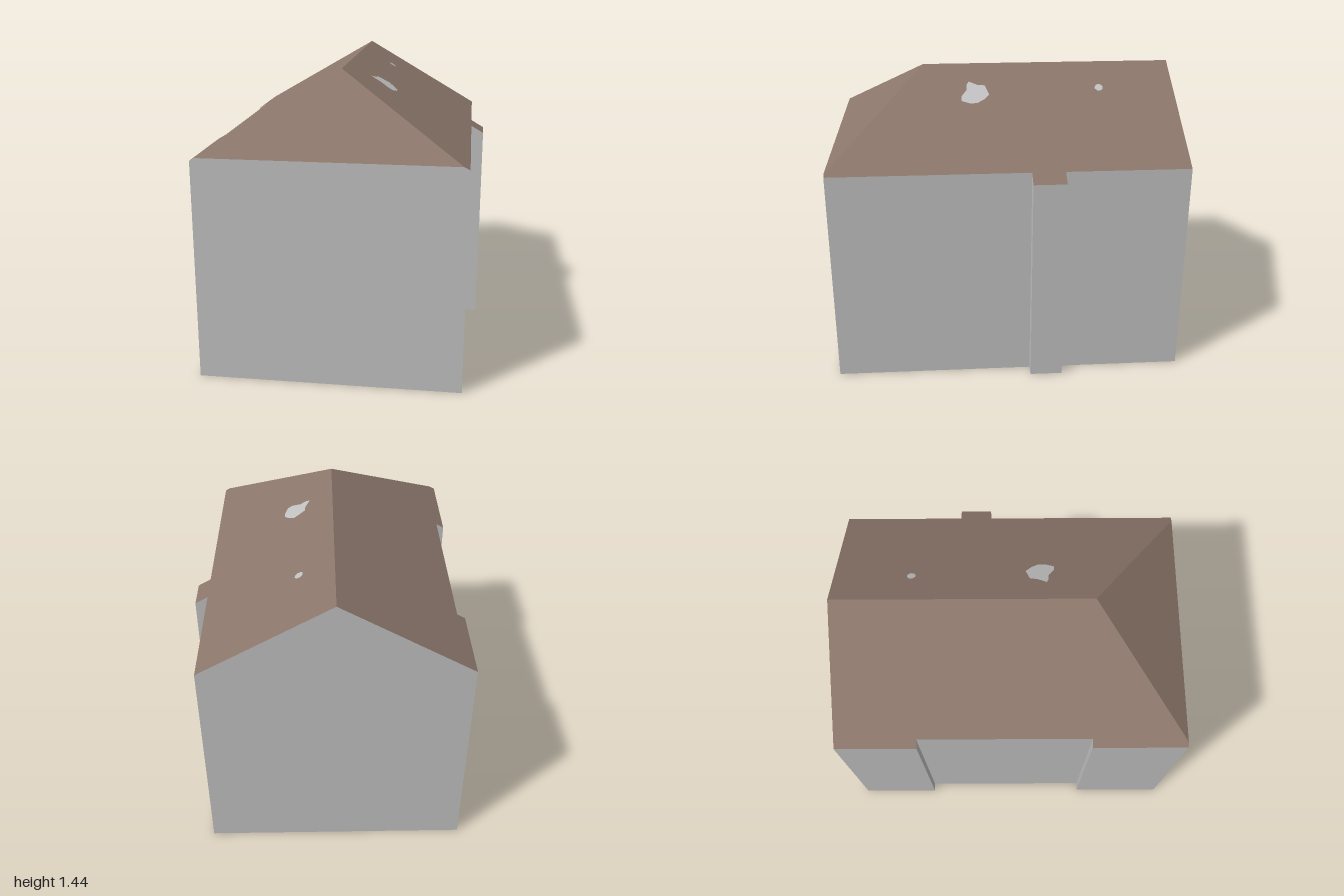
import * as THREE from 'three';

const W = 0.63, F = 0.862;            // half width, half length
const RIDGE = 1.44, HIP = 0.405;      // ridge height, ridge end towards the front
const HX = 0.604;                     // where the hip meets the front wall
const TURN = -0.274;

// Roof height over a plan point: two side slopes cut by a front hip
const roofY = (x, z) => RIDGE - Math.max(0.582 * Math.abs(x), 0.772 * (z - HIP), 0);

// Plan outline, anticlockwise seen from above, starting at the front left corner
const front = [[-W, F], [-HX, F], [HX, F]];
const right = [[W, F], [W, -0.102], [0.694, -0.102], [0.694, -0.261], [W, -0.261], [W, -F]];
const left = [[-W, -F], [-W, -0.46], [-0.59, -0.46], [-0.59, 0.396], [-W, 0.396]];
const outline = [...front, ...right, [0, -F], ...left];

// Flat polygon in plan, laid on the roof surface, facing up
function onRoof(points, lift = 0) {
  const shape = new THREE.Shape(points.map(([x, z]) => new THREE.Vector2(x, -z)));
  const geo = new THREE.ShapeGeometry(shape).rotateX(-Math.PI / 2);
  const p = geo.attributes.position;
  for (let i = 0; i < p.count; i++) p.setY(i, roofY(p.getX(i), p.getZ(i)) + lift);
  geo.computeVertexNormals();
  return geo;
}

// Vertical walls from the ground up to the roof surface
function wallGeometry() {
  const v = [];
  outline.forEach(([ax, az], i) => {
    const [bx, bz] = outline[(i + 1) % outline.length];
    const a = [ax, 0, az], b = [bx, 0, bz];
    const c = [bx, roofY(bx, bz), bz], d = [ax, roofY(ax, az), az];
    v.push(...a, ...b, ...c, ...a, ...c, ...d);
  });
  const geo = new THREE.BufferGeometry();
  geo.setAttribute('position', new THREE.Float32BufferAttribute(v, 3));
  geo.computeVertexNormals();
  return geo;
}

export function createModel() {
  const wallGrey = new THREE.MeshStandardMaterial({ color: 0xc0c0c0 });
  const roofBrown = new THREE.MeshStandardMaterial({ color: 0x8b766a });
  wallGrey.name = 'wallGrey';
  roofBrown.name = 'roofBrown';

  const house = new THREE.Group();
  house.name = 'house';
  house.rotation.y = TURN;
  const add = (name, geo, mat) => {
    const mesh = new THREE.Mesh(geo, mat);
    mesh.name = name;
    house.add(mesh);
  };

  // Walls and floor
  add('walls', wallGeometry(), wallGrey);
  const plan = new THREE.Shape(outline.map(([x, z]) => new THREE.Vector2(x, z)));
  add('floor', new THREE.ShapeGeometry(plan).rotateX(Math.PI / 2), wallGrey);

  // Roof slopes
  const ridgeFront = [0, HIP], ridgeBack = [0, -F];
  add('frontHip', onRoof([[-HX, F], [HX, F], ridgeFront]), roofBrown);
  add('rightSlope', onRoof([ridgeFront, [HX, F], ...right, ridgeBack]), roofBrown);
  add('leftSlope', onRoof([ridgeFront, ridgeBack, ...left, [-W, F], [-HX, F]]), roofBrown);

  // Pale patches on one slope, given in unturned plan coordinates
  const c = Math.cos(TURN), s = Math.sin(TURN);
  const toPlan = ([x, z]) => [x * c - z * s, x * s + z * c];
  const large = [[0.065, 0.2], [0.1, 0.16], [0.11, 0.13], [0.17, 0.125], [0.19, 0.16],
    [0.2, 0.2], [0.19, 0.235], [0.165, 0.27], [0.14, 0.262], [0.11, 0.225], [0.08, 0.215]];
  const small = [];
  for (let i = 0; i < 8; i++) {
    const t = i * Math.PI / 4;
    small.push([0.29 + 0.02 * Math.cos(t), -0.42 + 0.022 * Math.sin(t)]);
  }
  add('largeRoofPatch', onRoof(large.map(toPlan), 0.003), wallGrey);
  add('smallRoofPatch', onRoof(small.map(toPlan), 0.003), wallGrey);

  const model = new THREE.Group();
  model.name = 'model';
  model.add(house);
  return model;
}
